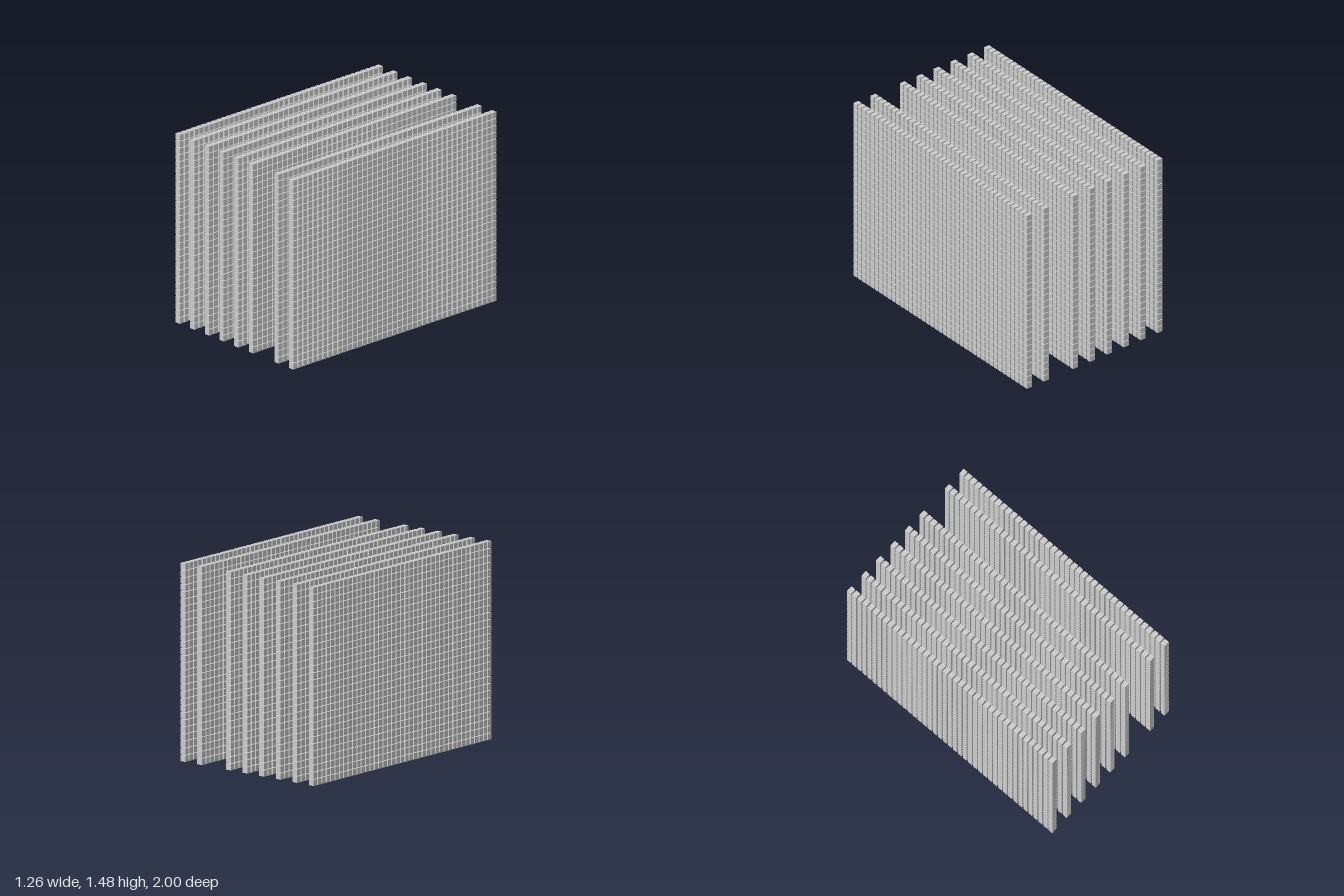
import * as THREE from 'three';
import { mergeGeometries } from 'three/addons/utils/BufferGeometryUtils.js';

// Wall positions across the width, with one wider aisle on the left side
const WALL_X = [-0.609, -0.452, -0.295, -0.138, 0.02, 0.178, 0.451, 0.609];
const ROWS = 28, COLUMNS = 41;
const HEIGHT = 1.475, DEPTH = 2;
const BLOCK = { x: 0.046, y: 0.047, z: 0.037 };

// One wall: a grid of separate blocks, spaced evenly in height and depth
function wallGeometry() {
  const stepY = (HEIGHT - BLOCK.y) / (ROWS - 1);
  const stepZ = (DEPTH - BLOCK.z) / (COLUMNS - 1);
  const block = new THREE.BoxGeometry(BLOCK.x, BLOCK.y, BLOCK.z);
  const blocks = [];
  for (let row = 0; row < ROWS; row++) {
    for (let col = 0; col < COLUMNS; col++) {
      blocks.push(block.clone().translate(
        0,
        BLOCK.y / 2 + row * stepY,
        -DEPTH / 2 + BLOCK.z / 2 + col * stepZ
      ));
    }
  }
  return mergeGeometries(blocks);
}

export function createModel() {
  const model = new THREE.Group();
  model.name = 'blockWalls';
  const material = new THREE.MeshStandardMaterial({ color: 0xcccccc });
  const geometry = wallGeometry();

  // Identical walls standing side by side
  WALL_X.forEach((x, i) => {
    const wall = new THREE.Mesh(geometry, material);
    wall.name = `wall${i + 1}`;
    wall.position.x = x;
    model.add(wall);
  });
  return model;
}
